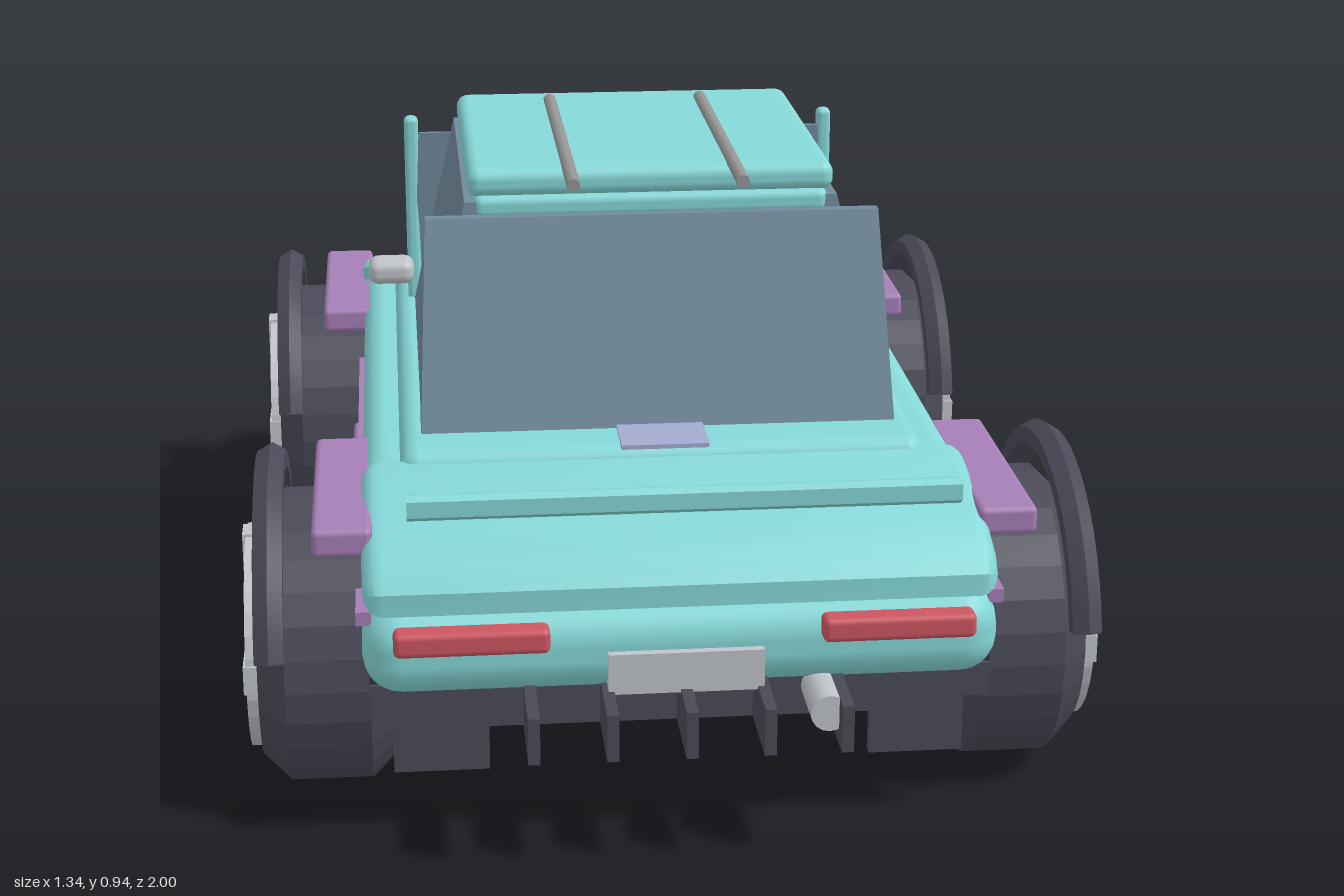
import * as THREE from 'three';
import { RoundedBoxGeometry } from 'three/addons/geometries/RoundedBoxGeometry.js';
import { toCreasedNormals } from 'three/addons/utils/BufferGeometryUtils.js';

const mat = (name, color, extra = {}) => {
  const m = new THREE.MeshStandardMaterial({ color, ...extra });
  m.name = name;
  return m;
};

export function createModel() {
  const car = new THREE.Group();
  car.name = 'car';
  const teal = mat('teal paint', 0x86d8d8);
  const glass = mat('blue grey glass', 0x718a9c);
  const purple = mat('purple trim', 0xa67fb6);
  const dark = mat('dark rubber', 0x4a4a58);
  const black = mat('black underside', 0x33333b);
  const red = mat('red lamp', 0xcc5560);
  const silver = mat('silver', 0xc0c4c8);
  const lavender = mat('lavender', 0xa4abd0);
  const beige = mat('beige lamp', 0xc4ae82);
  const grey = mat('grey metal', 0x969696);

  const add = (name, geo, material, parent = car) => {
    const m = new THREE.Mesh(geo, material);
    m.name = name;
    parent.add(m);
    return m;
  };
  // Box given by its extents on each axis, rounded when r > 0
  const box = (name, material, [x0, x1], [y0, y1], [z0, z1], r = 0, parent = car) => {
    const s = [x1 - x0, y1 - y0, z1 - z0];
    const geo = r ? new RoundedBoxGeometry(...s, 3, r) : new THREE.BoxGeometry(...s);
    const m = add(name, geo, material, parent);
    m.position.set((x0 + x1) / 2, (y0 + y1) / 2, (z0 + z1) / 2);
    return m;
  };
  // Side profile in (z, y) extruded across the width, centred on x = 0
  const profile = (name, material, pts, width, bevel = 0) => {
    const shape = new THREE.Shape(pts.map(p => new THREE.Vector2(...p)));
    let geo = new THREE.ExtrudeGeometry(shape, {
      depth: width - 2 * bevel, bevelEnabled: bevel > 0, bevelSize: bevel,
      bevelThickness: bevel, bevelOffset: -bevel, bevelSegments: 4,
    });
    geo.translate(0, 0, -(width - 2 * bevel) / 2);
    geo.rotateY(-Math.PI / 2);
    if (bevel) geo = toCreasedNormals(geo, 0.6);
    return add(name, geo, material);
  };

  // Body
  box('lowerBody', teal, [-0.485, 0.485], [0.25, 0.39], [-0.855, 0.905], 0.06);
  box('chassis', black, [-0.475, 0.475], [0.21, 0.29], [-0.85, 0.86]);
  box('middleBody', teal, [-0.48, 0.48], [0.37, 0.505], [-0.56, 0.62], 0.04);
  box('cabinBase', teal, [-0.42, 0.42], [0.42, 0.535], [-0.54, 0.6], 0.03);
  profile('hood', teal, [[0.58, 0.385], [0.885, 0.385], [0.885, 0.42], [0.86, 0.45], [0.79, 0.48], [0.6, 0.518], [0.58, 0.518]], 0.965, 0.03);
  profile('rearDeck', teal, [[-0.52, 0.385], [-0.52, 0.518], [-0.56, 0.516], [-0.72, 0.475], [-0.82, 0.43], [-0.85, 0.4], [-0.85, 0.385]], 0.965, 0.015);
  profile('spoiler', teal, [[0.77, 0.535], [0.89, 0.54], [0.905, 0.55], [0.905, 0.575], [0.895, 0.582], [0.87, 0.574]], 0.825);

  // Cabin: tapered core with windscreen and rear window wedges
  const core = new THREE.BoxGeometry(1, 1, 1);
  const p = core.attributes.position;
  for (let i = 0; i < p.count; i++) {
    const top = p.getY(i) > 0;
    p.setXYZ(i, Math.sign(p.getX(i)) * (top ? 0.305 : 0.385), top ? 0.88 : 0.53,
      p.getZ(i) > 0 ? (top ? 0.365 : 0.395) : (top ? -0.235 : -0.26));
  }
  core.computeVertexNormals();
  add('sideWindows', core, glass);
  const screen = (name, pts) => {
    const m = profile(name, glass, pts, 0.77);
    const q = m.geometry.attributes.position;
    for (let i = 0; i < q.count; i++) if (q.getY(i) > 0.7) q.setX(i, q.getX(i) * 0.96);
    m.geometry.computeVertexNormals();
  };
  screen('windscreen', [[0.40, 0.53], [0.505, 0.53], [0.388, 0.86], [0.368, 0.86]]);
  screen('rearWindow', [[-0.44, 0.53], [-0.26, 0.53], [-0.245, 0.85], [-0.255, 0.85]]);
  box('upperRoof', teal, [-0.29, 0.29], [0.85, 0.89], [-0.25, 0.37], 0.015);
  box('roofPanel', teal, [-0.3, 0.3], [0.885, 0.933], [-0.206, 0.366], 0.02);
  box('frontVent', lavender, [-0.07, 0.07], [0.533, 0.54], [0.5, 0.6]);
  box('rearVent', lavender, [-0.07, 0.07], [0.533, 0.54], [-0.54, -0.45]);
  box('rearVentStrip', lavender, [-0.33, 0.33], [0.533, 0.541], [-0.485, -0.44]);

  // Parts repeated on both sides
  for (const s of [-1, 1]) {
    const side = (a, b) => (s > 0 ? [a, b] : [-b, -a]);
    const n = s > 0 ? 'left' : 'right';
    box(n + 'SideSkirt', purple, side(0.46, 0.507), [0.22, 0.27], [-0.42, 0.46], 0.01);
    box(n + 'SideStripe', purple, side(0.47, 0.493), [0.362, 0.384], [-0.83, 0.86]);
    for (const z of [0.27, 0.245, -0.075])
      box(n + 'DoorGap', dark, side(0.48, 0.488), [0.27, 0.365], [z - 0.007, z + 0.007]);
    box(n + 'DoorHandle', silver, side(0.48, 0.495), [0.335, 0.355], [0.135, 0.215], 0.006);
    box(n + 'RearPillar', teal, side(0.37, 0.396), [0.52, 0.878], [-0.28, -0.25], 0.01);
    box(n + 'Mirror', silver, side(0.385, 0.468), [0.58, 0.625], [-0.24, -0.175], 0.018);
    const rod = add(n + 'RoofRail', new THREE.CylinderGeometry(0.011, 0.011, 0.61, 10), grey);
    rod.rotation.x = Math.PI / 2;
    rod.position.set(s * 0.135, 0.934, 0.173);
    box(n + 'FrontLamp', red, side(0.205, 0.438), [0.335, 0.374], [0.89, 0.93], 0.01);
    box(n + 'RearLamp', beige, side(0.215, 0.42), [0.33, 0.372], [-0.878, -0.84], 0.01);
    box(n + 'MudFlap', dark, side(0.295, 0.442), [0.105, 0.25], [0.822, 0.838]);
  }

  // Wheels, arches and fender pads
  const tyreGeo = new THREE.LatheGeometry([[0, 0.43], [0.15, 0.43], [0.192, 0.432], [0.234, 0.475],
    [0.234, 0.605], [0.192, 0.648], [0.15, 0.645], [0, 0.645]].map(a => new THREE.Vector2(...a)), 28);
  const tyre = toCreasedNormals(tyreGeo, 0.1);
  const ringShape = new THREE.Shape().absarc(0, 0, 0.178, 0, Math.PI * 2);
  ringShape.holes.push(new THREE.Path().absarc(0, 0, 0.145, 0, Math.PI * 2, true));
  const ring = new THREE.ExtrudeGeometry(ringShape, { depth: 0.026, bevelEnabled: false, curveSegments: 16 });
  const ARCH = THREE.MathUtils.degToRad(15);
  for (const s of [-1, 1]) for (const z of [0.588, -0.532]) {
    const wheel = new THREE.Group();
    wheel.name = (z > 0 ? 'front' : 'rear') + (s > 0 ? 'Left' : 'Right') + 'Wheel';
    wheel.position.set(0, 0.235, z);
    wheel.rotation.y = s * Math.PI / 2; // local z points outward
    car.add(wheel);
    add('tyre', tyre, dark, wheel).rotation.x = Math.PI / 2;
    const disc = add('rimDisc', new THREE.CylinderGeometry(0.155, 0.155, 0.01, 28), lavender, wheel);
    disc.rotation.x = Math.PI / 2;
    disc.position.z = 0.646;
    add('rimRing', ring, silver, wheel).position.z = 0.64;
    box('spokeUpright', silver, [-0.023, 0.023], [-0.18, 0.18], [0.645, 0.671], 0, wheel);
    box('spokeLevel', silver, [-0.18, 0.18], [-0.023, 0.023], [0.645, 0.67], 0, wheel);

    const arch = new THREE.TorusGeometry(0.28, 0.026, 6, 20, Math.PI - 2 * ARCH);
    arch.rotateZ(ARCH);
    const archMat = dark;
    add('wheelArch', toCreasedNormals(arch, 0.3), archMat, wheel).position.z = 0.624;
    // Caps closing the two arch ends
    for (const e of [-1, 1]) {
      const cap = add('archEnd', new THREE.CylinderGeometry(0.025, 0.025, 0.004, 6), dark, wheel);
      cap.position.set(e * 0.28 * Math.cos(ARCH), 0.28 * Math.sin(ARCH), 0.624);
      cap.rotation.set(0, Math.PI / 2, e * ARCH, 'ZYX');
    }
    const pad = s > 0 ? [0.465, 0.557] : [-0.557, -0.465];
    box('fenderPad', purple, pad, [0.445, 0.49], [z - 0.207, z + 0.207], 0.01);
  }

  // Front diffuser, plate and exhaust
  box('frontPlate', silver, [-0.118, 0.118], [0.26, 0.325], [0.89, 0.918]);
  box('frontValance', dark, [-0.475, 0.475], [0.212, 0.265], [0.82, 0.868]);
  box('diffuserTray', dark, [-0.297, 0.297], [0.188, 0.212], [0.83, 0.86]);
  for (const x of [-0.235, -0.118, 0, 0.117, 0.233])
    box('diffuserFin', dark, [x - 0.009, x + 0.009], [0.19, 0.265], [0.845, 1]);
  const exhaust = add('exhaust', new THREE.CylinderGeometry(0.029, 0.029, 0.12, 16), silver);
  exhaust.rotation.x = Math.PI / 2;
  exhaust.position.set(0.21, 0.24, 0.91);

  // Rear splitter, board and grille
  box('splitter', dark, [-0.445, 0.445], [0.187, 0.21], [-1, -0.835]);
  box('splitterEdge', beige, [-0.44, 0.44], [0.183, 0.189], [-0.998, -0.96]);
  profile('splitterRamp', grey, [[-0.94, 0.235], [-0.93, 0.21], [-0.85, 0.213], [-0.94, 0.255]].reverse(), 0.93);
  box('rearBoard', grey, [-0.335, 0.335], [0.27, 0.447], [-0.962, -0.936]);
  box('rearGrille', dark, [-0.145, 0.145], [0.27, 0.345], [-0.885, -0.845], 0.01);
  box('rearCentreLamp', beige, [-0.04, 0.04], [0.35, 0.385], [-0.876, -0.83], 0.01);

  return car;
}
